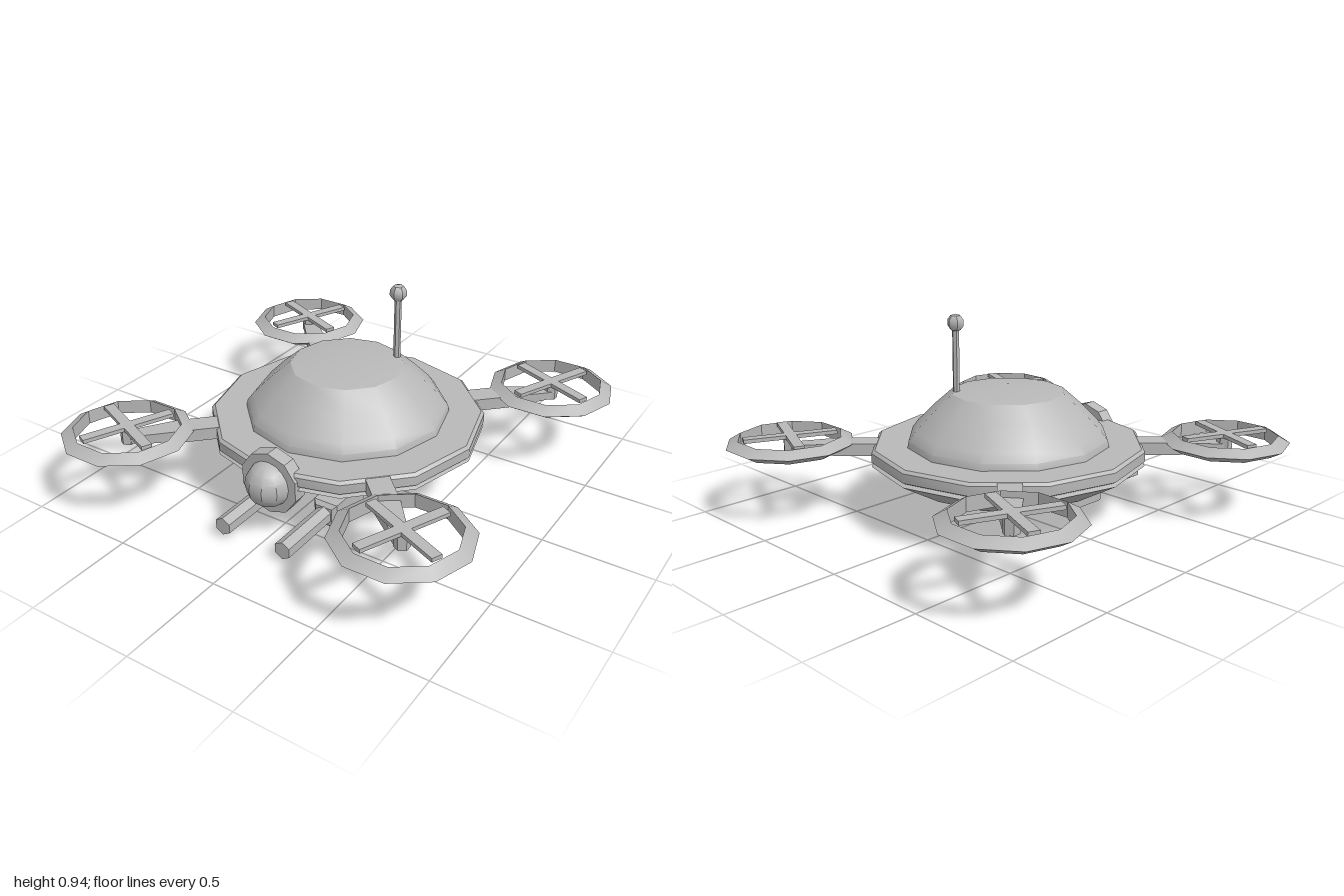
import * as THREE from 'three';
import { toCreasedNormals } from 'three/addons/utils/BufferGeometryUtils.js';

const grey = new THREE.MeshStandardMaterial({ color: 0xb8b8b8 });
grey.name = 'hull grey';

// Facets sharper than 33 degrees stay hard, gentler ones are smoothed
function part(parent, name, geometry, x = 0, y = 0, z = 0) {
  const mesh = new THREE.Mesh(toCreasedNormals(geometry, THREE.MathUtils.degToRad(33)), grey);
  mesh.name = name;
  mesh.position.set(x, y, z);
  parent.add(mesh);
  return mesh;
}

function lathe(points, sides) {
  return new THREE.LatheGeometry(points.map(([r, y]) => new THREE.Vector2(r, y)), sides);
}

// Arm running along +z, narrowing over its outer half
function armGeometry() {
  const g = new THREE.BoxGeometry(1, 1, 1, 1, 1, 2);
  const p = g.attributes.position;
  const stations = [
    { z: 0.5, half: 0.052, low: 0.29, high: 0.348 },
    { z: 0.77, half: 0.052, low: 0.29, high: 0.348 },
    { z: 0.99, half: 0.032, low: 0.3, high: 0.335 },
  ];
  for (let i = 0; i < p.count; i++) {
    const s = stations[Math.round((p.getZ(i) + 0.5) * 2)];
    p.setXYZ(i, Math.sign(p.getX(i)) * s.half, p.getY(i) > 0 ? s.high : s.low, s.z);
  }
  return g;
}

// Chamfered block, extruded along z
function housingGeometry(width, height, depth, c) {
  const w = width / 2 - c, h = height / 2 - c;
  const shape = new THREE.Shape();
  shape.moveTo(-w, -h);
  shape.lineTo(w, -h);
  shape.lineTo(w, h);
  shape.lineTo(-w, h);
  shape.closePath();
  const g = new THREE.ExtrudeGeometry(shape, {
    depth: depth - 2 * c, bevelEnabled: true, bevelSize: c, bevelThickness: c, bevelSegments: 1,
  });
  return g.translate(0, 0, -depth / 2 + c);
}

export function createModel() {
  const model = new THREE.Group();
  model.name = 'flyingDrone';

  // Saucer body
  part(model, 'lowerHull', lathe([[0, 0.145], [0.43, 0.16], [0.63, 0.275], [0.61, 0.285], [0, 0.285]], 12));
  part(model, 'rim', lathe([[0.5, 0.28], [0.61, 0.285], [0.63, 0.295], [0.63, 0.338], [0.615, 0.35], [0, 0.35]], 12));
  part(model, 'dome', lathe([[0.468, 0.345], [0.462, 0.38], [0.433, 0.418], [0.35, 0.502], [0.26, 0.582], [0, 0.615]], 12));
  part(model, 'bellyPlate', new THREE.CylinderGeometry(0.2, 0.2, 0.055, 10), 0, 0.1225, 0);

  // Four arms with guarded rotors
  for (const sx of [-1, 1]) {
    for (const sz of [-1, 1]) {
      const arm = part(model, 'arm', armGeometry());
      arm.rotation.y = Math.atan2(sx, sz);

      const rotor = new THREE.Group();
      rotor.name = 'rotor';
      rotor.position.set(sx * 0.705, 0, sz * 0.705);
      model.add(rotor);
      const guard = new THREE.TorusGeometry(0.258, 0.037, 3, 10).rotateX(Math.PI / 2);
      part(rotor, 'rotorGuard', guard, 0, 0.344, 0);
      part(rotor, 'motor', new THREE.CylinderGeometry(0.035, 0.035, 0.075, 6), 0, 0.3325, 0);
      for (const turn of [0, Math.PI / 2]) {
        const blade = part(rotor, 'blade', new THREE.BoxGeometry(0.425, 0.018, 0.048), 0, 0.373, 0);
        blade.rotation.y = -0.41 + turn;
      }
    }
  }

  // Front eye
  const ring = new THREE.CylinderGeometry(0.145, 0.145, 0.065, 10).rotateX(Math.PI / 2);
  part(model, 'eyeRing', ring, 0, 0.273, 0.578);
  part(model, 'eye', new THREE.SphereGeometry(0.105, 10, 8), 0, 0.273, 0.605);

  // Twin guns under the nose
  for (const x of [-0.157, 0.157]) {
    part(model, 'gunHousing', housingGeometry(0.118, 0.12, 0.25, 0.017), x, 0.063, 0.307);
    const barrel = new THREE.CylinderGeometry(0.042, 0.042, 0.33, 6).rotateX(Math.PI / 2);
    part(model, 'gunBarrel', barrel, x, 0.067, 0.575);
  }

  // Antenna
  part(model, 'antennaRod', new THREE.CylinderGeometry(0.016, 0.016, 0.3, 6), 0.155, 0.73, -0.175);
  const tip = new THREE.SphereGeometry(0.04, 6, 5).rotateY(Math.PI / 2);
  part(model, 'antennaTip', tip, 0.155, 0.898, -0.175);

  return model;
}
